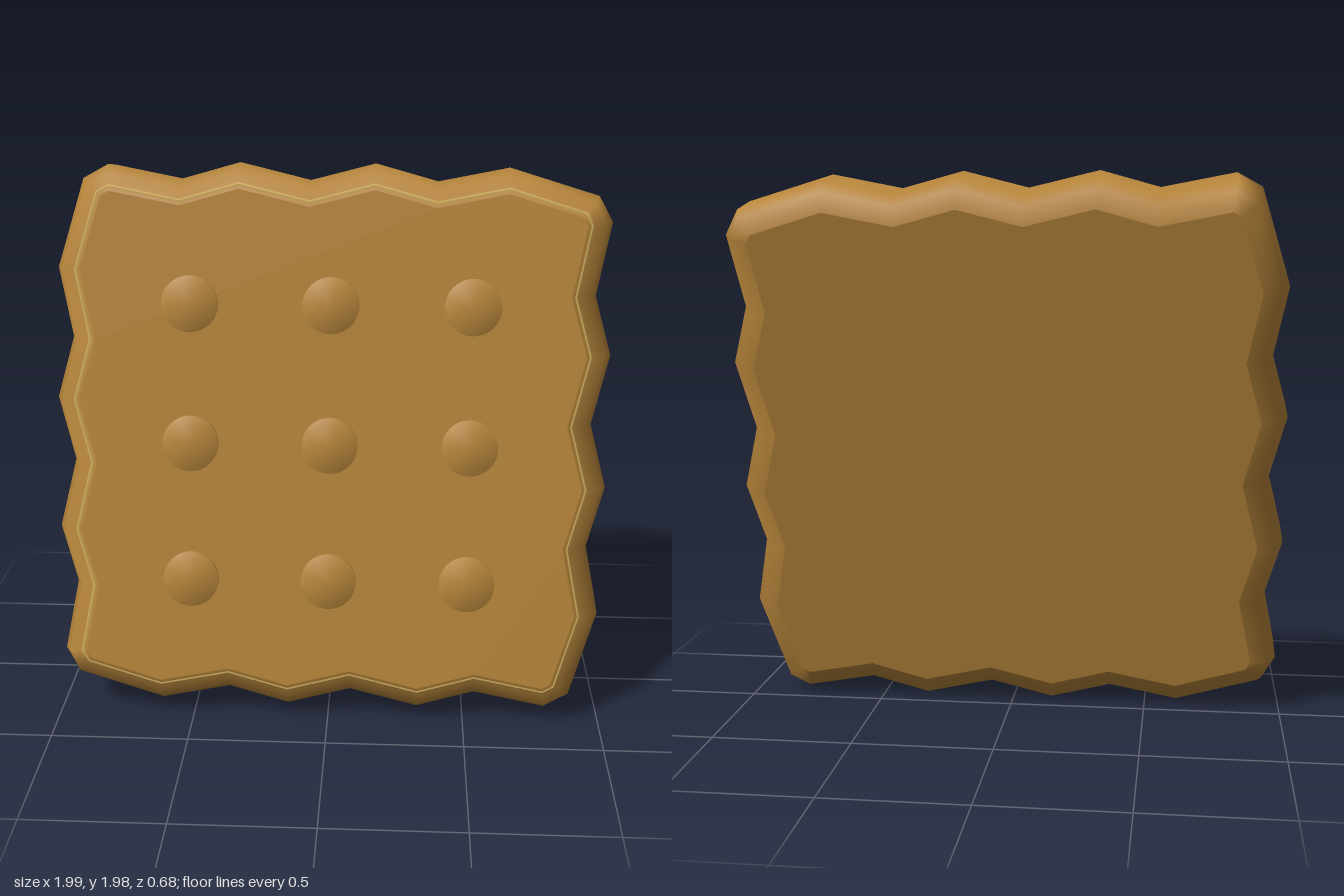
import * as THREE from 'three';
import { mergeVertices } from 'three/addons/utils/BufferGeometryUtils.js';

// One wavy edge of the biscuit; the other three are quarter turns of it
const EDGE = [[-0.89, 0.935], [-0.8, 0.985], [-0.54, 0.935], [-0.33, 0.995],
  [-0.08, 0.935], [0.15, 0.995], [0.37, 0.935], [0.62, 0.985]];

function wavyOutline() {
  const points = [];
  for (let turn = 0; turn < 4; turn++) {
    for (const [x, y] of EDGE) {
      points.push(new THREE.Vector2(x, y).rotateAround(new THREE.Vector2(), -turn * Math.PI / 2));
    }
  }
  return new THREE.Shape(points.reverse());
}

// Wavy slab with flat faces and a smoothly shaded rim, centred on z
function addSlab(parent, name, material, { depth, bevel, thickness, inset, segments, z }) {
  const source = new THREE.ExtrudeGeometry(wavyOutline(), {
    depth, bevelSize: bevel, bevelThickness: thickness,
    bevelOffset: -bevel - inset, bevelSegments: segments,
  });
  source.translate(0, 0, z - depth / 2);
  const slab = new THREE.Group();
  slab.name = name;
  source.groups.forEach(({ start, count }, i) => {
    const array = source.attributes.position.array.slice(start * 3, (start + count) * 3);
    let part = new THREE.BufferGeometry();
    part.setAttribute('position', new THREE.BufferAttribute(array, 3));
    if (i === 1) part = mergeVertices(part, 1e-4);
    part.computeVertexNormals();
    const mesh = new THREE.Mesh(part, material);
    mesh.name = name + (i === 1 ? 'Rim' : 'Faces');
    slab.add(mesh);
  });
  parent.add(slab);
}

export function createModel() {
  const baked = new THREE.MeshStandardMaterial({ color: 0xb8863b });
  baked.name = 'baked brown';
  const pale = new THREE.MeshStandardMaterial({ color: 0xc9a557 });
  pale.name = 'pale biscuit';

  const biscuit = new THREE.Group();
  biscuit.name = 'biscuit';

  // Thick body and the pale layer on its front
  addSlab(biscuit, 'body', baked,
    { depth: 0.15, bevel: 0.09, thickness: 0.082, inset: 0, segments: 2, z: 0 });
  addSlab(biscuit, 'frontLayer', pale,
    { depth: 0.02, bevel: 0.036, thickness: 0.03, inset: 0.037, segments: 1, z: 0.113 });

  // Three by three raised dots with softened rims
  const dotProfile = [[0.1, -0.02], [0.1, 0.02], [0, 0.02]].map(p => new THREE.Vector2(...p));
  const dotGeometry = new THREE.LatheGeometry(dotProfile, 32).rotateX(Math.PI / 2);
  for (const x of [-0.5, 0, 0.5]) {
    for (const y of [-0.5, 0, 0.5]) {
      const dot = new THREE.Mesh(dotGeometry, baked);
      dot.name = 'dot';
      dot.position.set(x, y, 0.161);
      biscuit.add(dot);
    }
  }

  // Lean the biscuit back and stand it on the ground
  biscuit.rotation.x = THREE.MathUtils.degToRad(-12);
  biscuit.position.y = 0.99;
  const model = new THREE.Group();
  model.name = 'leaningBiscuit';
  model.add(biscuit);
  return model;
}
